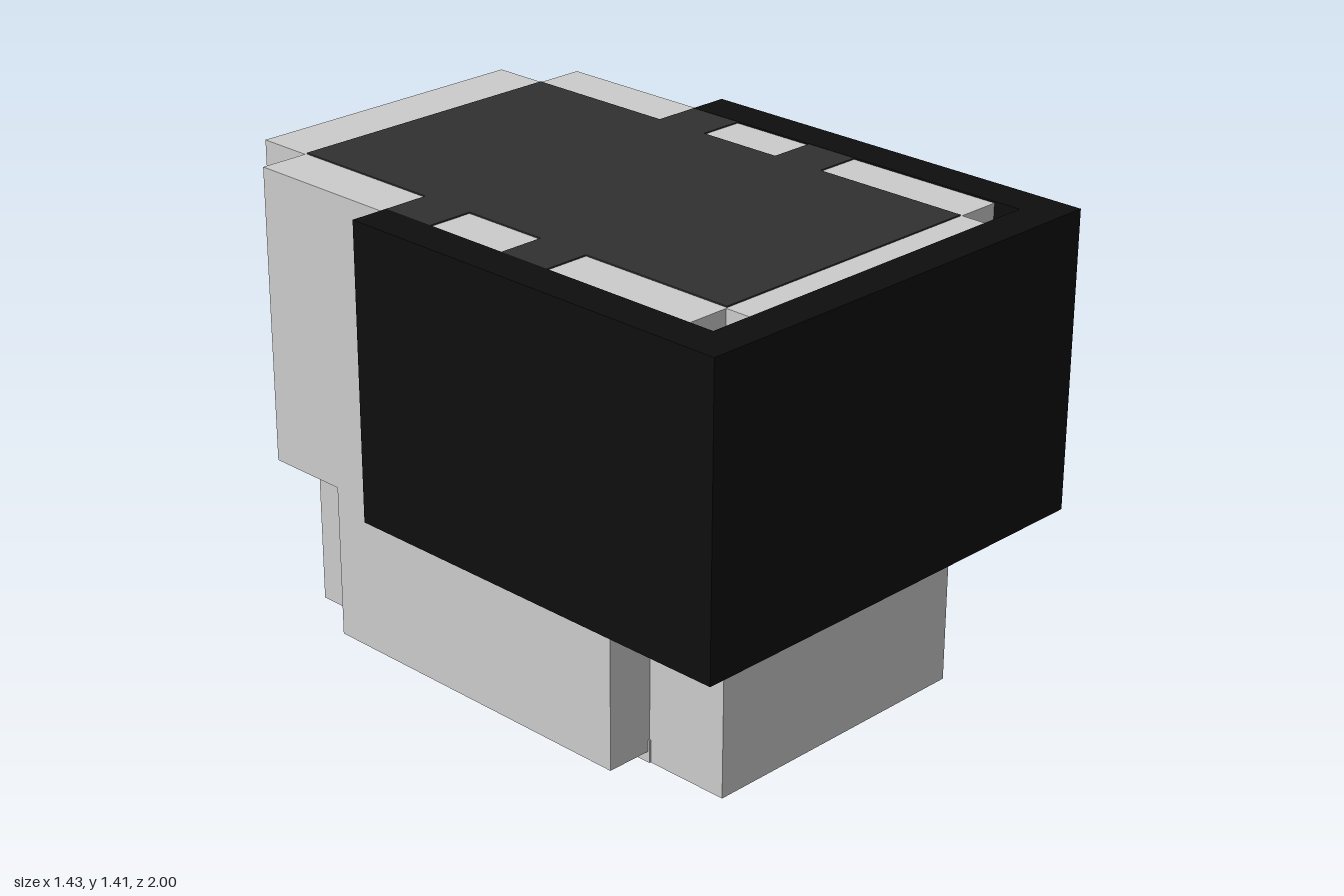
import * as THREE from 'three';

const grey = new THREE.MeshStandardMaterial({ color: 0xcccccc });
const black = new THREE.MeshStandardMaterial({ color: 0x0e0e0e });
const dark = new THREE.MeshStandardMaterial({ color: 0x303030 });

export function createModel() {
  const model = new THREE.Group();

  // Box given by its minimum and maximum on each axis
  const block = (name, [x0, x1], [y0, y1], [z0, z1], material = grey) => {
    const mesh = new THREE.Mesh(new THREE.BoxGeometry(x1 - x0, y1 - y0, z1 - z0), material);
    mesh.position.set((x0 + x1) / 2, (y0 + y1) / 2, (z0 + z1) / 2);
    mesh.name = name;
    model.add(mesh);
  };

  const top = 1.405, ledge = 0.505, half = 0.46;

  // Central core, base plate and the upper blocks on both ends
  block('core', [-half, half], [0, top], [-0.825, 0.81]);
  block('basePlate', [-0.466, 0.466], [0.001, 0.07], [-0.56, 0.545]);
  block('backBlock', [-half, half], [ledge, top], [-1, -0.825]);
  block('frontBlock', [-half, half], [ledge, top], [0.81, 0.975]);

  // Dark panel set flush in the top
  block('topPanel', [-0.455, 0.455], [1.38, 1.409], [-0.822, 0.798], dark);

  for (const [side, s] of [['left', 1], ['right', -1]]) {
    const span = (a, b) => (s > 0 ? [a, b] : [-b, -a]);

    // Stepped side: wide upper part, shorter lower part
    block(side + 'UpperSide', span(half, 0.61), [ledge, top], [-0.825, 0.8]);
    block(side + 'LowerSide', span(half, 0.61), [0.035, ledge], [-0.56, 0.54]);

    // Tabs that hold the shell, with dark tops
    for (const [z0, z1] of [[-0.322, -0.145], [0.13, 0.3]]) {
      block(side + 'Tab', span(0.6, 0.67), [ledge, top], [z0, z1]);
      block(side + 'TabTop', span(0.455, 0.6), [1.38, 1.409], [z0, z1], dark);
    }
  }

  // U-shaped shell wrapped around the front and both sides
  const u = new THREE.Shape([
    [-0.715, 0.32], [-0.715, -1], [0.715, -1], [0.715, 0.32],
    [0.597, 0.32], [0.597, -0.885], [-0.597, -0.885], [-0.597, 0.32],
  ].map(([x, y]) => new THREE.Vector2(x, y)));
  const shellGeometry = new THREE.ExtrudeGeometry(u, { depth: 0.895, bevelEnabled: false });
  shellGeometry.rotateX(-Math.PI / 2);
  const shell = new THREE.Mesh(shellGeometry, black);
  shell.position.y = 0.515;
  shell.name = 'frontShell';
  model.add(shell);

  return model;
}
